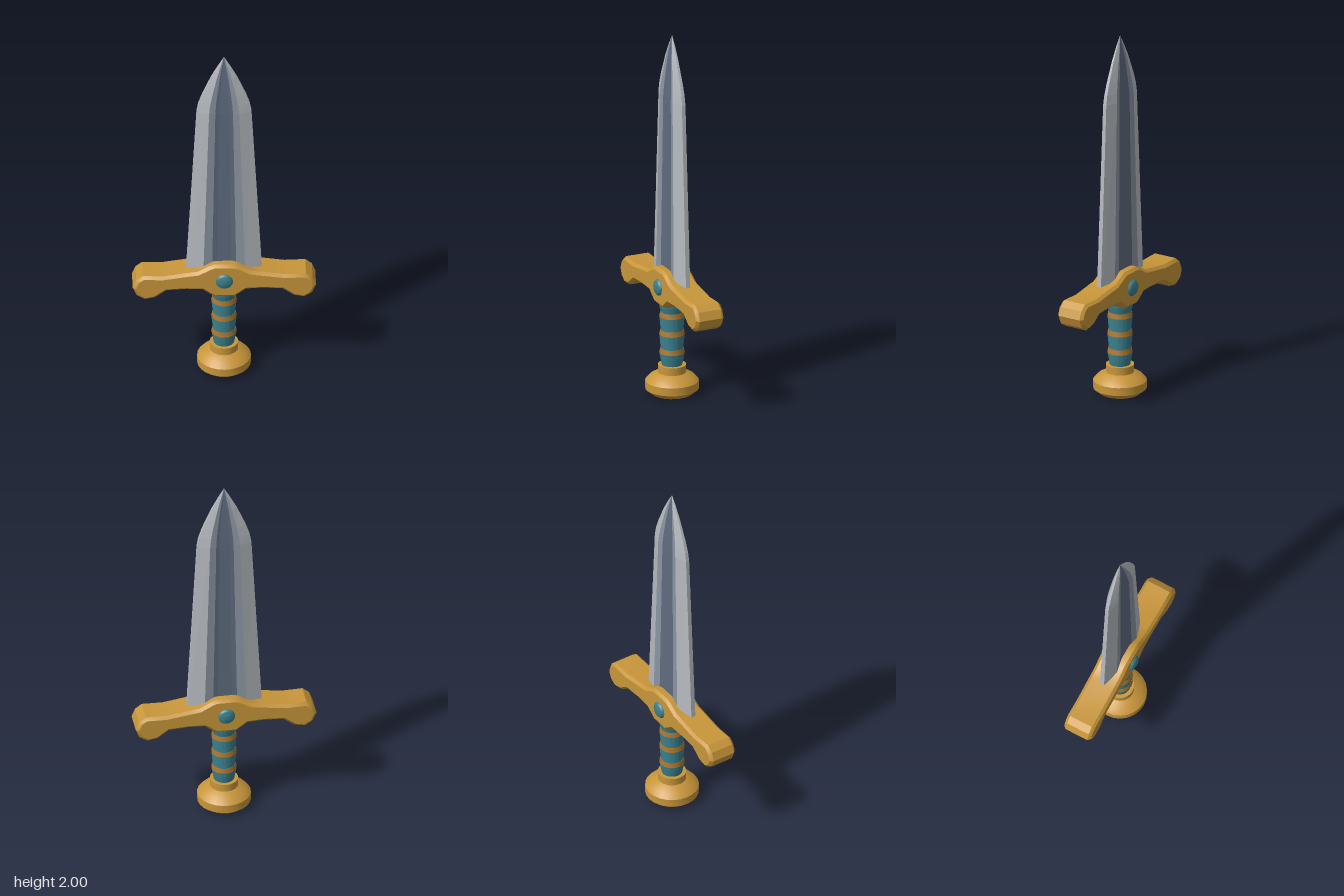
import * as THREE from 'three';
import { toCreasedNormals } from 'three/addons/utils/BufferGeometryUtils.js';

export function createModel() {
  const model = new THREE.Group();
  model.name = 'sword';

  const material = (name, color) => {
    const m = new THREE.MeshStandardMaterial({ color });
    m.name = name;
    return m;
  };
  const gold = material('gold', 0xc8963a);
  const bronze = material('bronze', 0xa8742c);
  const teal = material('teal', 0x3a7f8c);
  const steel = material('steel', 0xb6bbc0);
  const greySteel = material('greySteel', 0x8b95a1);
  const darkSteel = material('darkSteel', 0x5f6b7e);

  const add = (name, geometry, mat) => {
    const mesh = new THREE.Mesh(geometry, mat);
    mesh.name = name;
    model.add(mesh);
    return mesh;
  };
  const lathe = (points, sides) => toCreasedNormals(
    new THREE.LatheGeometry(points.map(([r, y]) => new THREE.Vector2(r, y)), sides), 0.45);

  // Pommel with its collar
  add('pommel', lathe([[0, 0], [0.108, 0], [0.142, 0.028], [0.142, 0.072], [0.118, 0.098],
    [0.075, 0.118], [0.075, 0.16], [0, 0.16]], 24), gold);

  // Grip: three waisted wraps below a top sleeve, with a band in each groove
  const bands = [0.24, 0.342, 0.442];
  const grip = [[0.053, 0.15]];
  for (const y of bands) grip.push([0.067, y - 0.014], [0.06, y + 0.014]);
  grip.push([0.068, 0.49], [0.068, 0.53]);
  add('grip', lathe(grip, 16), teal);
  for (const y of bands) {
    add('gripBand', lathe([[0.05, y - 0.013], [0.068, y - 0.013], [0.062, y + 0.013],
      [0.05, y + 0.013]], 16), bronze);
  }

  // Crossguard: mirrored outline, extruded with a narrow bevel
  const half = [[0.055, 0.7], [0.085, 0.687], [0.14, 0.656], [0.2, 0.648], [0.32, 0.63],
    [0.43, 0.633], [0.465, 0.605], [0.483, 0.56], [0.463, 0.512], [0.42, 0.485],
    [0.365, 0.496], [0.305, 0.54], [0.2, 0.546], [0.115, 0.542], [0.055, 0.497]];
  const outline = [...half, ...half.map(([x, y]) => [-x, y]).reverse()];
  const guard = new THREE.ExtrudeGeometry(
    new THREE.Shape(outline.map(([x, y]) => new THREE.Vector2(x, y))),
    { depth: 0.13, bevelEnabled: true, bevelThickness: 0.015, bevelSize: 0.015,
      bevelOffset: -0.015, bevelSegments: 1 });
  guard.translate(0, 0, -0.065);
  add('guard', toCreasedNormals(guard, 0.5), gold);

  // Domed gem on each face of the guard
  for (const side of [1, -1]) {
    const gem = add('gem', lathe([[0.046, 0], [0.045, 0.012], [0.037, 0.022], [0.02, 0.029],
      [0, 0.031]], 16), teal);
    gem.rotation.x = side * Math.PI / 2;
    gem.position.set(0, 0.6, side * 0.07);
  }

  // Blade: one cross-section scaled along its length [height, half width, half thickness]
  const stations = [[0.58, 0.203, 0.042], [1.65, 0.145, 0.034], [1.7, 0.136, 0.031],
    [1.76, 0.116, 0.027], [1.87, 0.07, 0.018], [1.94, 0.034, 0.01], [2, 0, 0]];
  // Front of the section from right to left, as fractions of width and thickness
  const right = [[1, 0.3], [0.55, 1], [0.32, 0.86], [0.19, 0.76]];
  const front = [...right, ...right.map(([x, z]) => [-x, z]).reverse()];
  const section = [...front, ...front.map(([x, z]) => [-x, -z])];
  const bandOf = ['edge', 'ridge', 'fuller', 'fuller', 'fuller', 'ridge', 'edge', 'edge'];
  const strips = { edge: [], ridge: [], fuller: [] };
  const point = ([y, w, t], [x, z]) => [x * w, y, z * t];
  for (let s = 0; s < stations.length - 1; s++) {
    for (let i = 0; i < section.length; i++) {
      const p = section[i], q = section[(i + 1) % section.length];
      const a = point(stations[s], p), b = point(stations[s], q);
      const c = point(stations[s + 1], q), d = point(stations[s + 1], p);
      const out = strips[bandOf[i % 8]];
      out.push(...a, ...d, ...b);
      if (s < stations.length - 2) out.push(...b, ...d, ...c);
    }
  }
  const colours = { edge: steel, ridge: greySteel, fuller: darkSteel };
  for (const [name, positions] of Object.entries(strips)) {
    const geometry = new THREE.BufferGeometry();
    geometry.setAttribute('position', new THREE.Float32BufferAttribute(positions, 3));
    // Corners run right to left along the front, so flip each triangle to face outward
    const index = [];
    for (let i = 0; i < positions.length / 3; i += 3) index.push(i, i + 2, i + 1);
    geometry.setIndex(index);
    const faces = geometry.toNonIndexed();
    faces.computeVertexNormals();
    // Check the winding against the blade axis and keep the outward side
    add('blade' + name[0].toUpperCase() + name.slice(1), outward(faces), colours[name]);
  }
  return model;
}

// Flips any triangle whose normal points toward the blade's mid-plane
function outward(geometry) {
  const p = geometry.attributes.position;
  const a = new THREE.Vector3(), b = new THREE.Vector3(), c = new THREE.Vector3();
  for (let i = 0; i < p.count; i += 3) {
    a.fromBufferAttribute(p, i);
    b.fromBufferAttribute(p, i + 1);
    c.fromBufferAttribute(p, i + 2);
    const mid = a.clone().add(b).add(c);
    const n = b.clone().sub(a).cross(c.clone().sub(a));
    const flatEdge = Math.abs(n.z) < Math.abs(n.x) * 0.05;
    if ((flatEdge ? n.x * mid.x : n.z * mid.z) < 0) {
      p.setXYZ(i + 1, c.x, c.y, c.z);
      p.setXYZ(i + 2, b.x, b.y, b.z);
    }
  }
  geometry.computeVertexNormals();
  return geometry;
}
